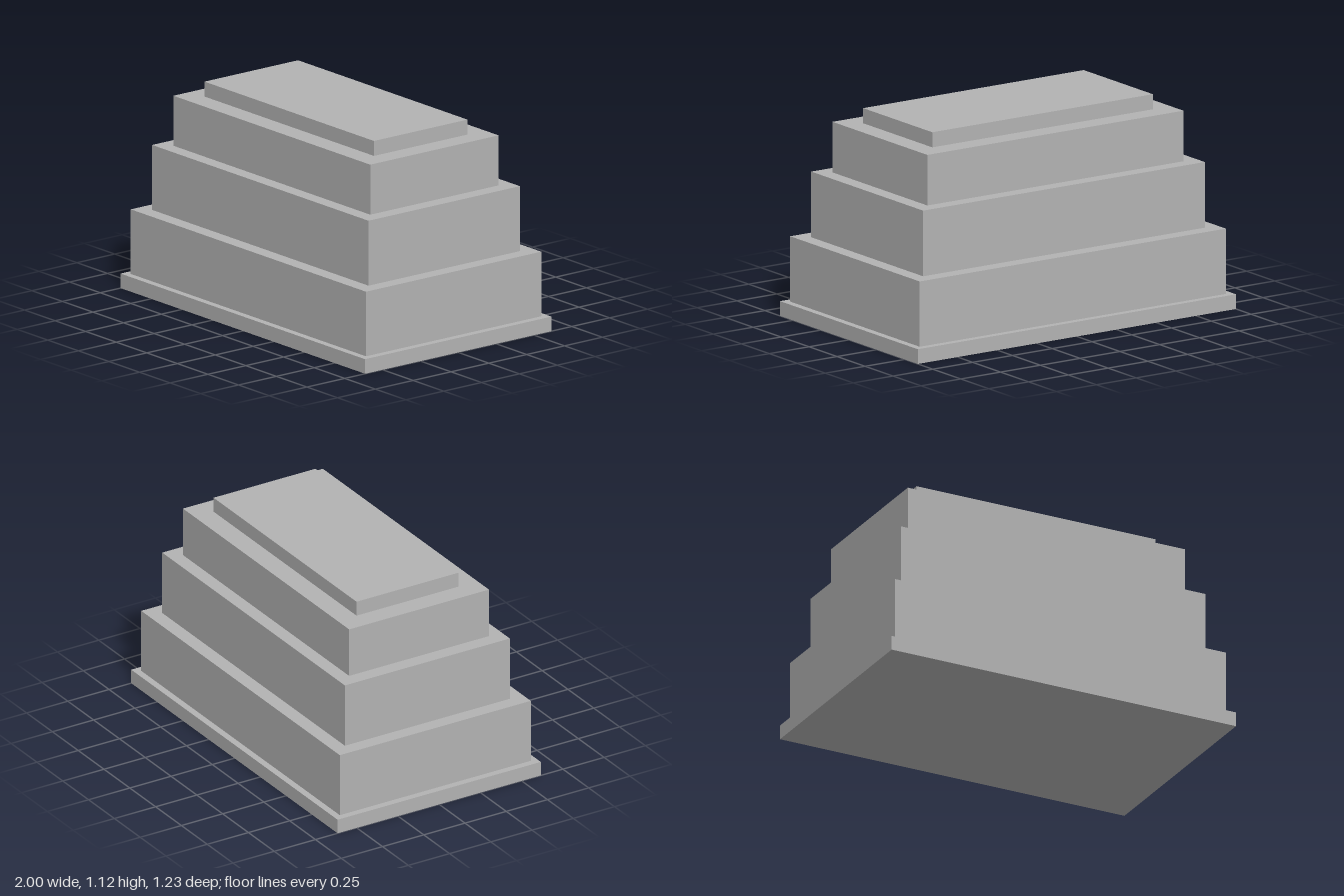
import * as THREE from 'three';

export function createModel() {
  const model = new THREE.Group();
  const stone = new THREE.MeshStandardMaterial({ color: 0xb2b2b2 });
  stone.name = 'plain grey';

  // Stacked tiers: name, width, depth, bottom, top
  const tiers = [
    ['basePlinth', 2, 1.232, 0, 0.078],
    ['lowerTier', 1.924, 1.158, 0.078, 0.424],
    ['middleTier', 1.77, 1, 0.424, 0.772],
    ['upperTier', 1.61, 0.848, 0.772, 1.04],
    ['topSlab', 1.386, 0.618, 1.04, 1.12],
  ];
  for (const [name, width, depth, bottom, top] of tiers) {
    const tier = new THREE.Mesh(new THREE.BoxGeometry(width, top - bottom, depth), stone);
    tier.name = name;
    tier.position.y = (bottom + top) / 2;
    model.add(tier);
  }
  return model;
}
